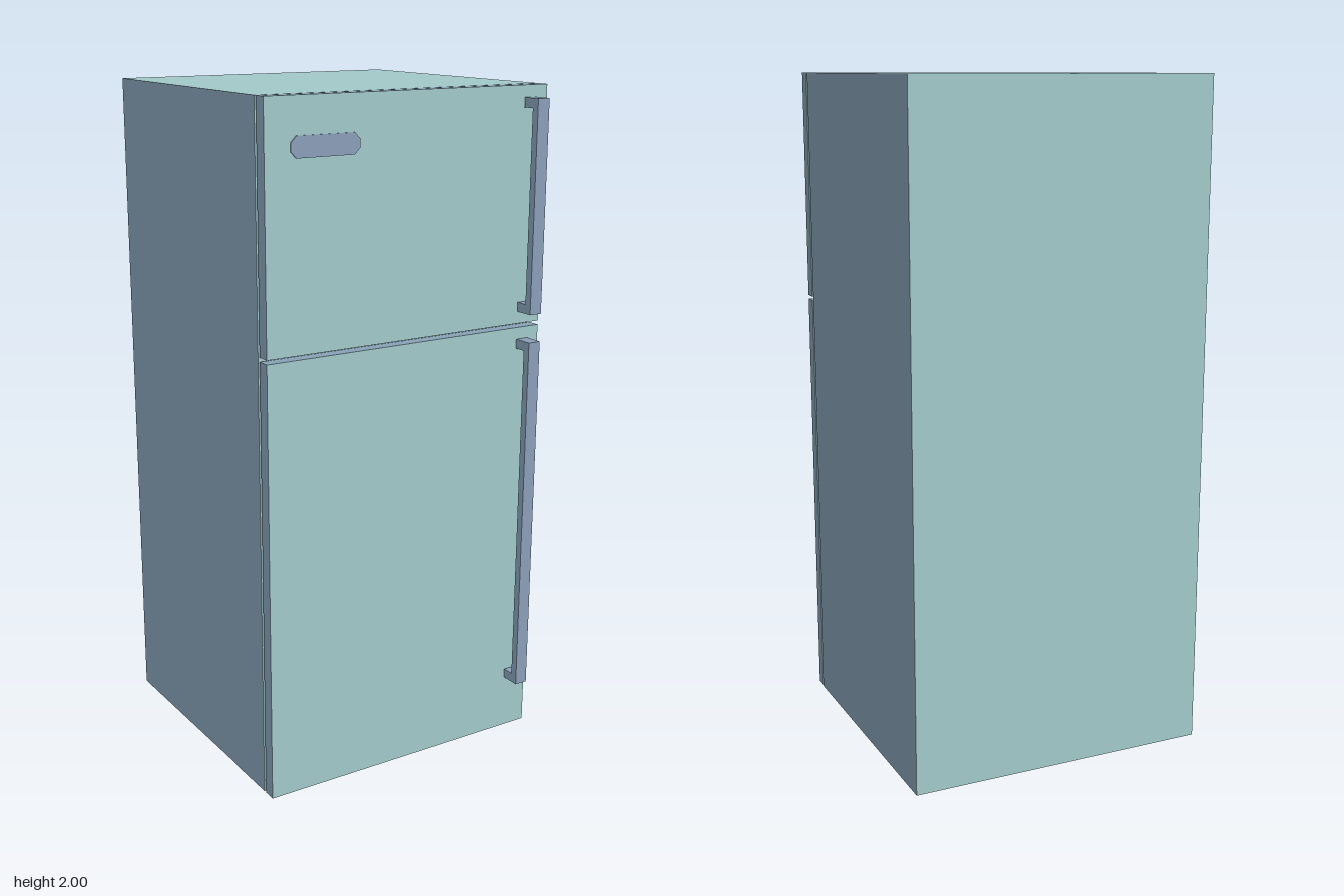
import * as THREE from 'three';

export function createModel() {
  const model = new THREE.Group();
  model.name = 'refrigerator';

  const paint = (name, color) => {
    const m = new THREE.MeshStandardMaterial({ color });
    m.name = name;
    return m;
  };
  const teal = paint('teal enamel', 0xa3caca);
  const blue = paint('blue side', 0x88a2b7);
  const lavender = paint('lavender trim', 0x8b9fb9);

  const add = (name, geometry, material) => {
    const mesh = new THREE.Mesh(geometry, material);
    mesh.name = name;
    model.add(mesh);
    return mesh;
  };

  // Box given by its y and z limits; materials run +x, -x, +y, -y, +z, -z
  const slab = (name, y0, y1, z0, z1, materials) =>
    add(name, new THREE.BoxGeometry(0.92, y1 - y0, z1 - z0), materials)
      .position.set(0, (y0 + y1) / 2, (z0 + z1) / 2);

  // Cabinet and the two separate doors in front of it
  slab('cabinet', 0, 2, -0.47, 0.358, [blue, blue, teal, teal, teal, teal]);
  const doorPaint = [blue, blue, blue, blue, teal, teal];
  slab('freezerDoor', 1.313, 2, 0.367, 0.406, doorPaint);
  slab('fridgeDoor', 0, 1.301, 0.367, 0.406, doorPaint);

  // Bracket-shaped handle: profile drawn in (z, y), extruded across x
  const handle = (name, y0, y1) => {
    const back = 0.41, inner = 0.446, front = 0.469, t = 0.028;
    const profile = new THREE.Shape([
      [back, y0], [front, y0], [front, y1], [back, y1],
      [back, y1 - t], [inner, y1 - t], [inner, y0 + t], [back, y0 + t],
    ].map(([z, y]) => new THREE.Vector2(z, y)));
    const geometry = new THREE.ExtrudeGeometry(profile, { depth: 0.04, bevelEnabled: false });
    geometry.rotateY(-Math.PI / 2);
    add(name, geometry, [blue, lavender]).position.x = 0.418;
  };
  handle('freezerHandle', 1.35, 1.966);
  handle('fridgeHandle', 0.169, 1.267);

  // Blank badge plate with chamfered ends
  const w = 0.106, h = 0.029, c = 0.017;
  const plate = new THREE.Shape([
    [-w + c, -h], [w - c, -h], [w, -h + c], [w, h - c],
    [w - c, h], [-w + c, h], [-w, h - c], [-w, -h + c],
  ].map(([x, y]) => new THREE.Vector2(x, y)));
  add('badgePlate', new THREE.ExtrudeGeometry(plate, { depth: 0.003, bevelEnabled: false }), lavender)
    .position.set(-0.277, 1.868, 0.406);

  return model;
}
